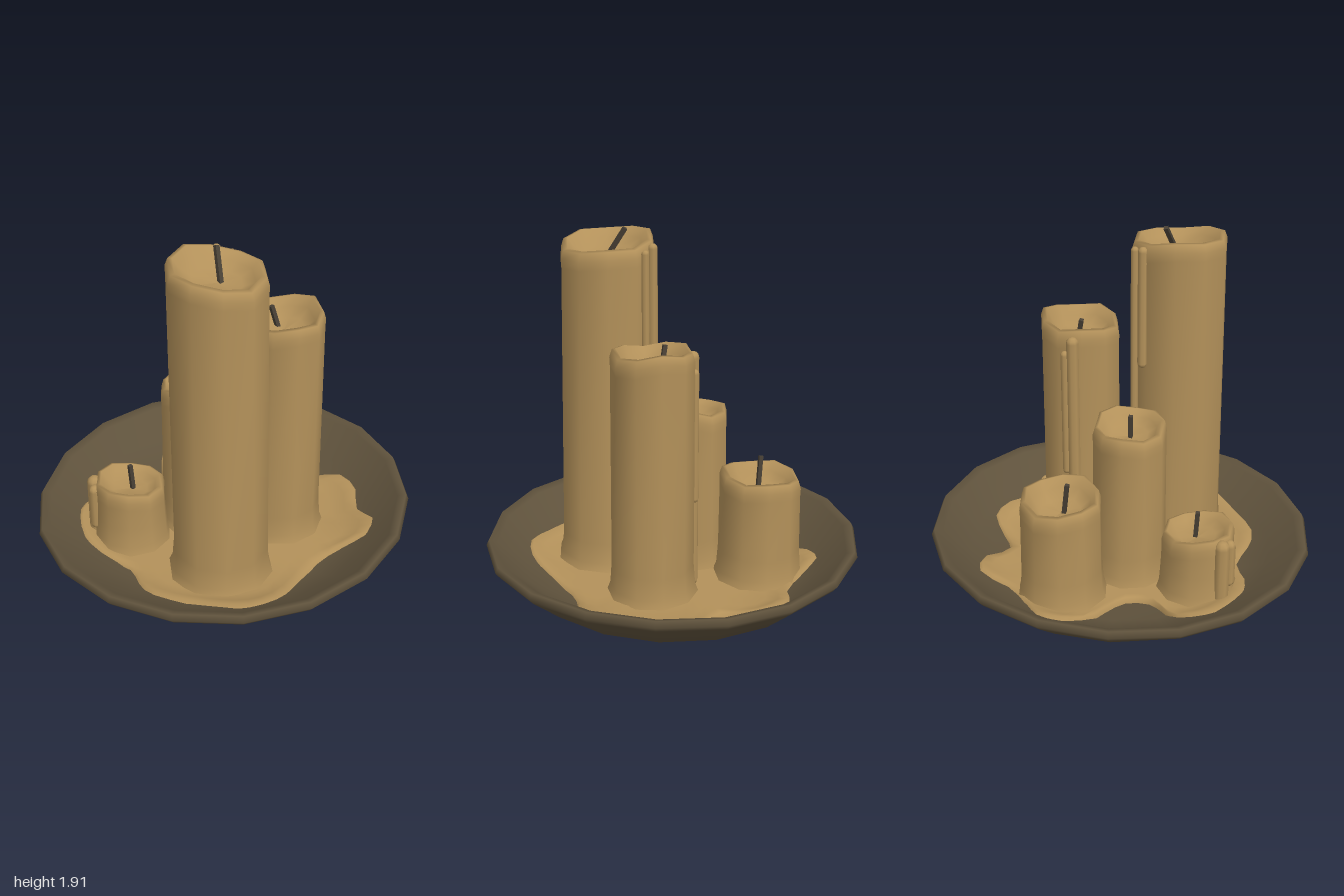
import * as THREE from 'three';

const wax = new THREE.MeshStandardMaterial({ color: 0xb3915a });
wax.name = 'wax';
const clay = new THREE.MeshStandardMaterial({ color: 0x5f523c });
clay.name = 'dark dish';
const char = new THREE.MeshStandardMaterial({ color: 0x484035 });
char.name = 'wick';

// Closed surface made of rings: point(ring, angle) returns [x, y, z]
function ringSurface(rings, sides, point) {
  const pos = [], index = [];
  for (let i = 0; i < rings; i++) {
    for (let j = 0; j < sides; j++) pos.push(...point(i, (j / sides) * Math.PI * 2));
  }
  for (let i = 0; i < rings - 1; i++) {
    for (let j = 0; j < sides; j++) {
      const k = (j + 1) % sides;
      const a = i * sides + j, b = a + sides, c = i * sides + k, d = c + sides;
      index.push(a, b, c, b, d, c);
    }
  }
  const g = new THREE.BufferGeometry();
  g.setAttribute('position', new THREE.Float32BufferAttribute(pos, 3));
  g.setIndex(index);
  g.computeVertexNormals();
  return g;
}

function addMesh(parent, name, geometry, material) {
  const mesh = new THREE.Mesh(geometry, material);
  mesh.name = name;
  parent.add(mesh);
  return mesh;
}

// Dish profile [radius, height]; the repeated point keeps the foot edge sharp
const dishProfile = [
  [0.001, 0], [0.37, 0], [0.37, 0], [0.81, 0.125], [0.975, 0.255], [1, 0.285],
  [0.985, 0.315], [0.94, 0.3], [0.8, 0.185], [0.6, 0.1], [0.001, 0.1],
];

// Height of the dish's inner surface at radius r
function dishHeight(r) {
  if (r < 0.6) return 0.1;
  return r < 0.8 ? 0.1 + (r - 0.6) * 0.425 : 0.185 + (r - 0.8) * 0.82;
}

function addDish(group) {
  const geometry = ringSurface(dishProfile.length, 18, (i, t) => {
    const [r, y] = dishProfile[i];
    const x = r * Math.cos(t), z = 0.97 * r * Math.sin(t);
    const lift = y > 0.2 ? 0.02 * x + 0.006 * Math.sin(3 * t) : 0;
    return [x, y + lift, z];
  });
  addMesh(group, 'dish', geometry, clay);
}

// Spilled wax, following the dish and dropping at its edge
function addPool(group) {
  const outline = [
    [0.75, 0.12], [0.72, 0.27], [0.62, 0.4], [0.6, 0.55], [0.5, 0.62], [0.35, 0.58],
    [0.18, 0.58], [0, 0.65], [-0.2, 0.72], [-0.35, 0.7], [-0.46, 0.6], [-0.56, 0.48],
    [-0.67, 0.32], [-0.67, 0.18], [-0.63, 0.04], [-0.7, -0.13], [-0.71, -0.28],
    [-0.65, -0.43], [-0.56, -0.52], [-0.43, -0.53], [-0.33, -0.45], [-0.25, -0.4],
    [-0.13, -0.42], [-0.05, -0.52], [0.04, -0.66], [0.14, -0.73], [0.25, -0.73],
    [0.34, -0.61], [0.48, -0.48], [0.65, -0.43], [0.68, -0.28], [0.59, -0.1], [0.66, 0],
  ];
  const curve = new THREE.CatmullRomCurve3(
    outline.map(([x, z]) => new THREE.Vector3(x, 0, z)), true);
  const scales = [1, 0.97, 0.9, 0.8, 0.6, 0.3, 0.001];
  const geometry = ringSurface(scales.length, 66, (i, t) => {
    const p = curve.getPoint(t / (Math.PI * 2)).multiplyScalar(scales[i]);
    const floor = dishHeight(Math.hypot(p.x, p.z / 0.97));
    const y = i === 0 ? floor - 0.005 : Math.max(0.13, floor + 0.022);
    return [p.x, y, p.z];
  });
  addMesh(group, 'waxPool', geometry, wax);
}

// One candle: flared foot, straight wall, rounded uneven lip and melted hollow
function addCandle(group, c) {
  const candle = new THREE.Group();
  candle.name = c.name;
  const r = c.r, sink = c.sink;
  // [radius, height above floor or below lip, measured from the lip]
  const profile = [
    [r * 1.16, 0.115, false], [r * 1.06, 0.17, false], [r * 1.02, 0.28, false],
    [r, -0.09, true], [r * 1.01, -0.045, true], [r * 0.95, -0.005, true],
    [r * 0.86, 0, true], [r * 0.74, -sink * 0.5, true],
    [r * 0.5, -sink * 0.9, true], [0.001, -sink, true],
  ];
  const geometry = ringSurface(profile.length, c.sides, (i, t0) => {
    const t = t0 + c.turn;
    const [rad, h, fromTop] = profile[i];
    const wave = c.tilt[0] * Math.cos(t) + c.tilt[1] * Math.sin(t)
      + c.wave * Math.sin(3 * t + c.phase);
    const k = rad / r;
    const y = fromTop ? c.top + h + wave * k : h;
    const lean = fromTop ? 0 : 1;
    return [
      c.x + c.lean[0] * lean + rad * Math.cos(t), y,
      c.z + c.lean[1] * lean + rad * Math.sin(t),
    ];
  });
  addMesh(candle, 'candleWax', geometry, wax);

  // Wick, a thin slanted square rod
  const a = new THREE.Vector3(...c.wick[0]), b = new THREE.Vector3(...c.wick[1]);
  const wick = addMesh(candle, 'wick',
    new THREE.BoxGeometry(0.021, a.distanceTo(b), 0.021), char);
  wick.position.copy(a).lerp(b, 0.5);
  wick.quaternion.setFromUnitVectors(new THREE.Vector3(0, 1, 0), b.sub(a).normalize());

  // Wax runs down the wall: [angle, top, bottom, thickness]
  for (const [angle, top, bottom, thick] of c.drips) {
    const drip = addMesh(candle, 'waxDrip',
      new THREE.CapsuleGeometry(thick, top - bottom - 2 * thick, 3, 8), wax);
    drip.position.set(
      c.x + r * 1.01 * Math.cos(angle), (top + bottom) / 2, c.z + r * 1.01 * Math.sin(angle));
  }
  group.add(candle);
}

const candles = [
  { name: 'tallCandle', x: -0.235, z: 0.27, r: 0.24, top: 1.845, sink: 0.08, sides: 10,
    turn: 0.2, tilt: [-0.018, -0.025], wave: 0.012, phase: 0.5, lean: [0, 0.025],
    wick: [[-0.22, 1.75, 0.28], [-0.18, 1.905, 0.19]],
    drips: [[-0.95, 1.84, 1.2, 0.025], [-0.65, 1.82, 0.75, 0.02]] },
  { name: 'secondCandle', x: 0.252, z: 0.165, r: 0.204, top: 1.405, sink: 0.1, sides: 10,
    turn: 0, tilt: [0.018, 0], wave: 0.018, phase: 1.6, lean: [0, 0.005],
    wick: [[0.25, 1.3, 0.12], [0.225, 1.42, 0.095]],
    drips: [[-1.65, 1.38, 0.12, 0.032], [-1.45, 1.3, 0.6, 0.022]] },
  { name: 'middleCandle', x: -0.08, z: -0.13, r: 0.185, top: 0.985, sink: 0.07, sides: 10,
    turn: 0.3, tilt: [0.005, 0.02], wave: 0.014, phase: 0, lean: [0, 0],
    wick: [[-0.085, 0.9, -0.14], [-0.09, 1.04, -0.155]], drips: [] },
  { name: 'backCandle', x: 0.205, z: -0.41, r: 0.207, top: 0.69, sink: 0.1, sides: 10,
    turn: 0.1, tilt: [0, 0.018], wave: 0.014, phase: 2, lean: [0, 0],
    wick: [[0.19, 0.58, -0.405], [0.165, 0.765, -0.425]], drips: [] },
  { name: 'shortCandle', x: -0.455, z: -0.205, r: 0.185, top: 0.48, sink: 0.06, sides: 10,
    turn: 0.3, tilt: [-0.018, 0], wave: 0.01, phase: 1, lean: [0, 0],
    wick: [[-0.44, 0.4, -0.2], [-0.45, 0.565, -0.205]],
    drips: [[-2.45, 0.49, 0.11, 0.04], [-2.75, 0.47, 0.2, 0.032]] },
];

export function createModel() {
  const group = new THREE.Group();
  group.name = 'candlesOnDish';
  addDish(group);
  addPool(group);
  candles.forEach((c) => addCandle(group, c));
  return group;
}
